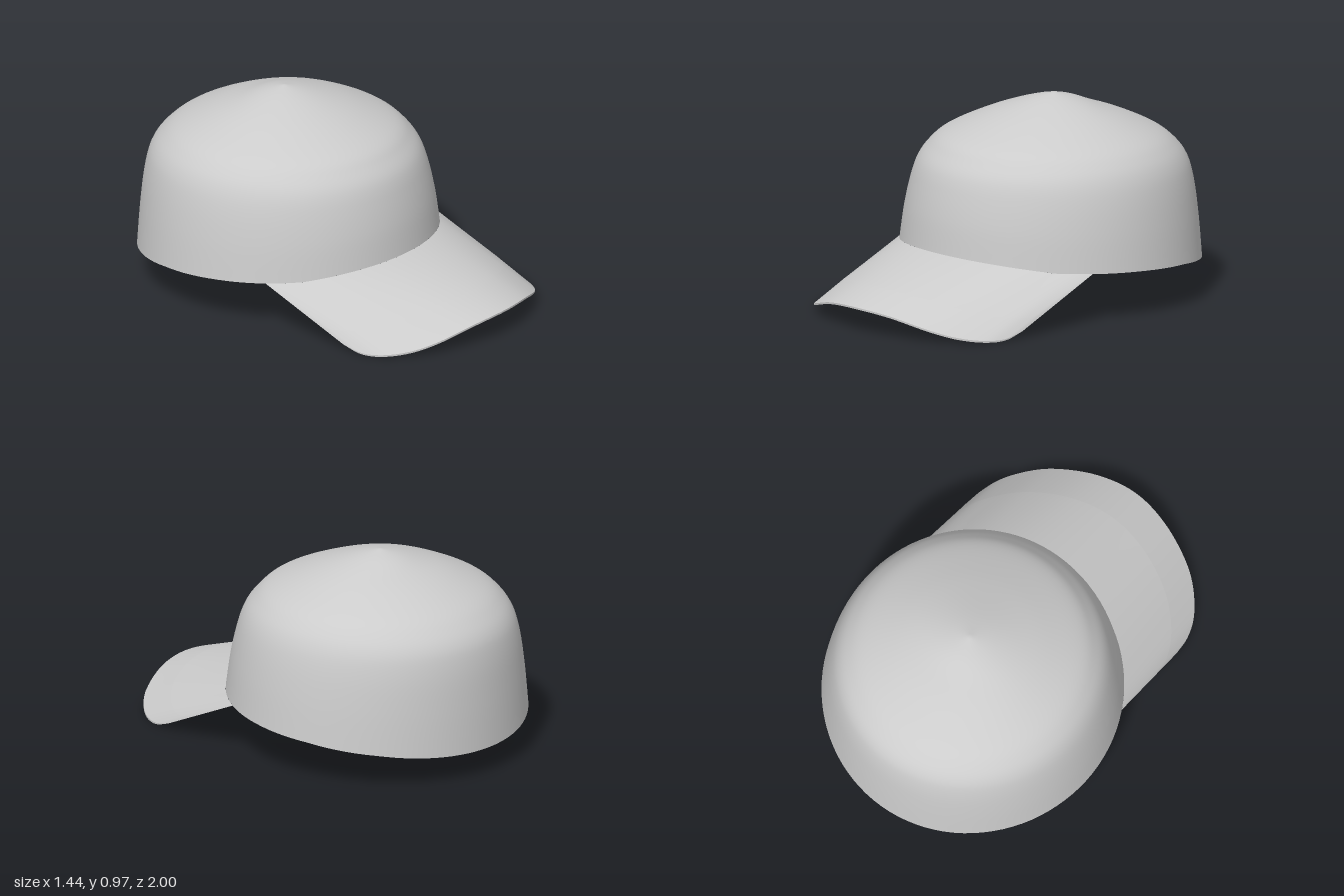
import * as THREE from 'three';
import { mergeVertices } from 'three/addons/utils/BufferGeometryUtils.js';

const material = new THREE.MeshStandardMaterial({ color: 0xcccccc, side: THREE.DoubleSide });

// Smooth grid surface from a rule (u, v) -> [x, y, z], front side along du x dv
function surface(name, rule, nu, nv) {
  const positions = [], index = [];
  for (let j = 0; j <= nv; j++)
    for (let i = 0; i <= nu; i++) positions.push(...rule(i / nu, j / nv));
  for (let j = 0; j < nv; j++)
    for (let i = 0; i < nu; i++) {
      const a = j * (nu + 1) + i, b = a + nu + 1;
      index.push(a, a + 1, b + 1, a, b + 1, b);
    }
  let geometry = new THREE.BufferGeometry();
  geometry.setAttribute('position', new THREE.Float32BufferAttribute(positions, 3));
  geometry.setIndex(index);
  geometry = mergeVertices(geometry, 1e-5);
  geometry.computeVertexNormals();
  const mesh = new THREE.Mesh(geometry, material);
  mesh.name = name;
  return mesh;
}

// Height of the crown's open rim along z: low at the back, raised at the front
const rimPoints = [[-1, 0.125], [-0.8, 0.165], [-0.5, 0.205], [-0.2, 0.225], [0, 0.235], [0.2, 0.247], [0.445, 0.29]];
function rimHeight(z) {
  let i = 0;
  while (i < rimPoints.length - 2 && z > rimPoints[i + 1][0]) i++;
  const [z0, y0] = rimPoints[i], [z1, y1] = rimPoints[i + 1];
  return y0 + (y1 - y0) * (z - z0) / (z1 - z0);
}

// Crown cross-sections: height, half width, front z, back z
const rows = [
  [0.225, 0.72, 0.445, -0.997], [0.4, 0.697, 0.425, -0.985], [0.55, 0.668, 0.395, -0.967],
  [0.65, 0.635, 0.363, -0.935], [0.72, 0.588, 0.31, -0.88], [0.78, 0.515, 0.24, -0.8],
  [0.85, 0.37, 0.08, -0.65], [0.9, 0.24, -0.06, -0.51], [0.94, 0.11, -0.19, -0.405],
  [0.964, 0, -0.3, -0.3],
];
const sideProfile = new THREE.SplineCurve(rows.map(r => new THREE.Vector2(r[0], r[1])));
const depthProfile = new THREE.SplineCurve(rows.map(r => new THREE.Vector2(r[2], r[3])));

function crownPoint(u, v) {
  const angle = (u * 2 - 1) * Math.PI;
  const side = sideProfile.getPoint(v), depth = depthProfile.getPoint(v);
  const centre = -0.28 - 0.02 * v;
  const c = Math.cos(angle);
  const z = centre + c * (c > 0 ? depth.x - centre : centre - depth.y);
  const blend = Math.max(0, 1 - (side.x - 0.225) / 0.4);
  return [side.y * Math.sin(angle), side.x + (rimHeight(z) - 0.225) * blend, z];
}

// Outer edge of the brim, mirrored about its middle
const halfEdge = [
  [0, 0.12, 1], [0.2, 0.104, 0.967], [0.4, 0.052, 0.88], [0.5, 0.022, 0.8],
  [0.58, 0.005, 0.695], [0.615, 0.005, 0.6], [0.628, 0.03, 0.5],
];
const edgePoints = [
  ...halfEdge.slice(1).reverse().map(([x, y, z]) => new THREE.Vector3(-x, y, z)),
  ...halfEdge.map(p => new THREE.Vector3(...p)),
];
const edge = new THREE.CatmullRomCurve3(edgePoints);
const CREASE = 0.67;

// Brim point: s runs -1..1 across, t runs from the crown rim to the outer edge
function brimPoint(s, t, under = 0) {
  const e = edge.getPoint((s + 1) / 2);
  const x = e.x * 0.64 / 0.628;
  const z = -0.28 + 0.725 * Math.sqrt(1 - (x / 0.72) ** 2);
  const bend = 0.006 * (1 - s ** 4) * (t < CREASE ? t / CREASE : (1 - t) / (1 - CREASE));
  const thickness = 0.009 * (1 - s ** 8) * under;
  return [
    x + (e.x - x) * t,
    THREE.MathUtils.lerp(rimHeight(z), e.y, t) + bend - thickness,
    z + (e.z - z) * t,
  ];
}

export function createModel() {
  const group = new THREE.Group();
  group.name = 'cap';
  group.add(surface('crown', crownPoint, 96, 48));

  // Brim: inner panel and front band meet at a soft crease
  const brim = new THREE.Group();
  brim.name = 'brim';
  brim.add(
    surface('brimInnerPanel', (u, v) => brimPoint(1 - 2 * u, v * CREASE), 72, 12),
    surface('brimFrontBand', (u, v) => brimPoint(1 - 2 * u, CREASE + v * (1 - CREASE)), 72, 8),
    surface('brimUnderside', (u, v) => brimPoint(2 * u - 1, v, 1), 72, 18),
    surface('brimEdge', (u, v) => brimPoint(2 * u - 1, 1, 1 - v), 72, 1),
  );
  group.add(brim);
  return group;
}
